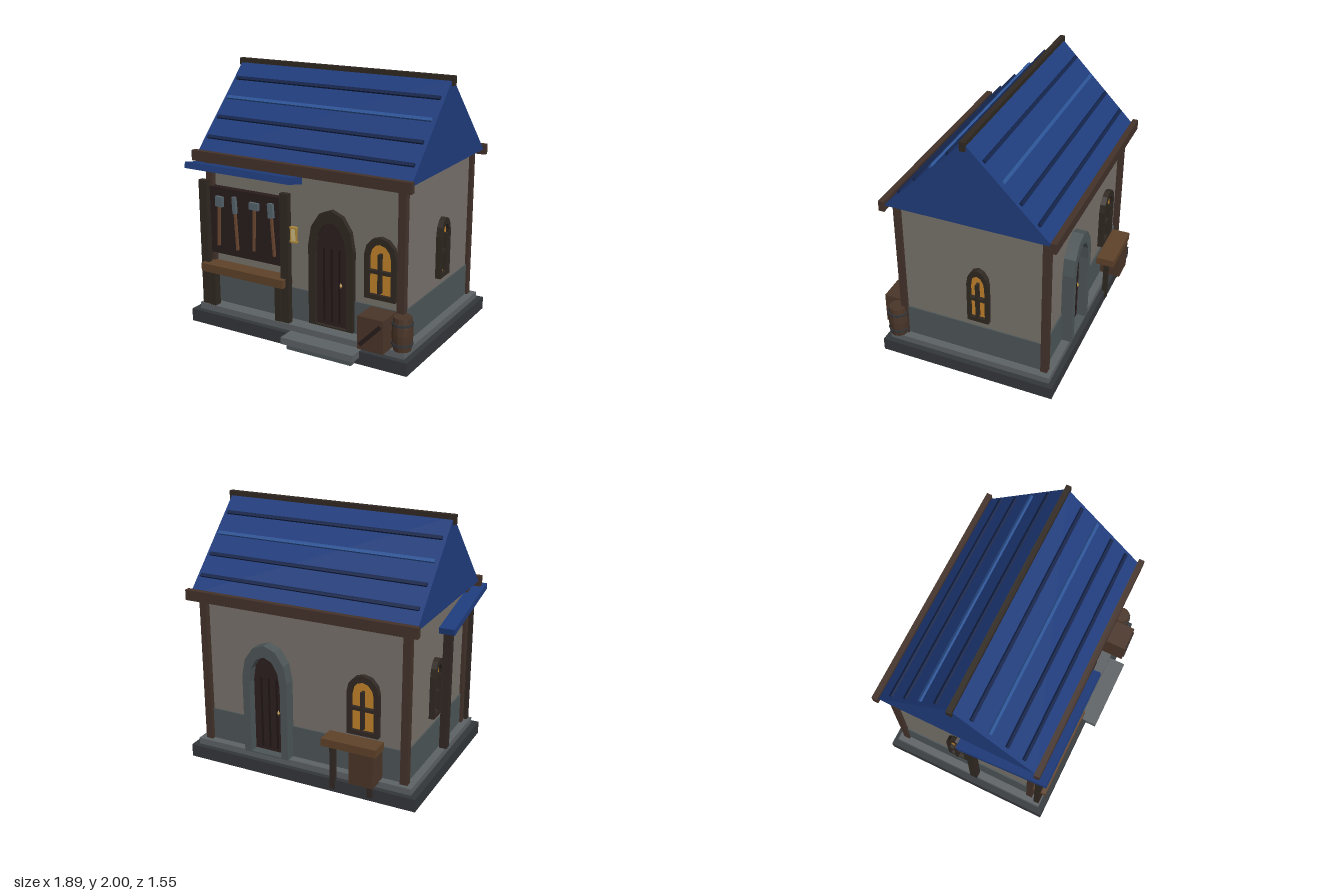
import * as THREE from 'three';

const paint = {
  wall: 0x77716a, stone: 0x4d5557, base: 0x33363a, plinth: 0x5c6164, roof: 0x1f3c7c, roofDark: 0x13234a,
  roofLight: 0x2c5496, timber: 0x43322a, dark: 0x302822, board: 0x281c1d, door: 0x2e1f1f, plank: 0x1f1516,
  wood: 0x5e4229, crate: 0x4a3528, glass: 0xc2822a, gold: 0xb08a3a, pale: 0xcdbb80, steel: 0x56646c, handle: 0x6b4730,
};
const mats = {};
for (const k in paint) {
  mats[k] = new THREE.MeshStandardMaterial({ color: paint[k], flatShading: true });
}

function add(parent, name, geo, mat, x = 0, y = 0, z = 0) {
  const m = new THREE.Mesh(geo, mats[mat]);
  m.name = name;
  m.position.set(x, y, z);
  parent.add(m);
  return m;
}

// Box given by its limits on each axis
function box(parent, name, mat, [x0, x1], [y0, y1], [z0, z1]) {
  return add(parent, name, new THREE.BoxGeometry(x1 - x0, y1 - y0, z1 - z0), mat,
    (x0 + x1) / 2, (y0 + y1) / 2, (z0 + z1) / 2);
}

// Round-headed outline with n facets on each side of the crown
function archPoints(w, y0, spring, top, n) {
  const pts = [new THREE.Vector2(-w, y0), new THREE.Vector2(w, y0)];
  for (let i = 0; i <= 2 * n; i++) {
    const a = (i / (2 * n)) * Math.PI;
    pts.push(new THREE.Vector2(w * Math.cos(a), spring + (top - spring) * Math.sin(a)));
  }
  return pts;
}
const slab = (shape, depth) => new THREE.ExtrudeGeometry(shape, { depth, bevelEnabled: false });

function archFrame(g, name, mat, outer, inner, depth) {
  const s = new THREE.Shape(outer);
  s.holes.push(new THREE.Path(inner));
  add(g, name, slab(s, depth), mat);
}

// Window facing +z, its back on z = 0
function makeWindow(name, w, wi) {
  const g = new THREE.Group();
  g.name = name;
  const inner = archPoints(wi, 0.035, 0.31, 0.415, 3);
  archFrame(g, 'windowFrame', 'dark', archPoints(w, 0, 0.33, 0.465, 3), inner, 0.045);
  add(g, 'windowGlass', slab(new THREE.Shape(inner), 0.02), 'glass');
  box(g, 'windowUpright', 'dark', [-0.01, 0.01], [0.05, 0.345], [0.02, 0.06]);
  box(g, 'windowCrossbar', 'dark', [-wi, wi], [0.195, 0.22], [0.02, 0.05]);
  return g;
}

// Door facing +z
function makeDoor(name, frameMat, h, depth) {
  const g = new THREE.Group();
  g.name = name;
  const inner = archPoints(0.13, 0.01, 0.58, h - 0.09, 3);
  archFrame(g, 'doorFrame', frameMat, archPoints(0.188, 0, 0.62, h, 3), inner, depth);
  add(g, 'doorPanel', slab(new THREE.Shape(inner), 0.02), 'door');
  for (const x of [-0.065, 0, 0.065]) {
    box(g, 'doorBatten', 'plank', [x - 0.006, x + 0.006], [0.04, 0.61], [0.02, 0.03]);
  }
  const knob = add(g, 'doorHandle', new THREE.OctahedronGeometry(0.016), 'gold', 0.08, 0.345, 0.032);
  knob.scale.set(0.8, 1.5, 0.8);
  return g;
}

function place(parent, g, x, y, z, turn = 0) {
  g.position.set(x, y, z);
  g.rotation.y = turn;
  parent.add(g);
}

export function createModel() {
  const root = new THREE.Group();
  root.name = 'cottageWorkshop';
  const CZ = -0.035;

  // Foundation and steps
  box(root, 'foundation', 'base', [-0.95, 0.94], [0, 0.1], [-0.705, 0.685]);
  box(root, 'plinth', 'plinth', [-0.9, 0.895], [0.1, 0.15], [-0.665, 0.64]);
  box(root, 'upperStep', 'plinth', [-0.05, 0.56], [0.05, 0.102], [0.5, 0.775]);
  box(root, 'lowerStep', 'stone', [-0.02, 0.525], [0, 0.05], [0.5, 0.74]);

  // Walls, stone band and corner posts
  box(root, 'walls', 'wall', [-0.83, 0.822], [0.15, 1.345], [-0.59, 0.52]);
  box(root, 'stoneBand', 'stone', [-0.84, 0.832], [0.15, 0.4], [-0.602, 0.532]);
  for (const x of [-0.828, 0.82]) {
    for (const z of [-0.605, 0.535]) {
      box(root, 'cornerPost', 'timber', [x - 0.029, x + 0.029], [0.15, 1.34], [z - 0.026, z + 0.026]);
    }
  }

  // Roof prism, ridge and eave beams
  const gable = new THREE.Shape([[-0.635, 1.34], [0.635, 1.34], [0, 1.985]].map(p => new THREE.Vector2(...p)));
  const roof = add(root, 'roof', slab(gable, 1.81), 'roof', -0.91, 0, CZ);
  roof.rotation.y = Math.PI / 2;
  box(root, 'ridgeBeam', 'dark', [-0.93, 0.92], [1.93, 2], [CZ - 0.02, CZ + 0.02]);
  const slope = Math.atan2(0.645, 0.635);
  for (const s of [1, -1]) {
    const e = CZ + s * 0.645;
    box(root, 'eaveBeam', 'timber', [-0.93, 0.92], [1.3, 1.38], [e - 0.022, e + 0.022]);
    for (let i = 0; i < 4; i++) {
      const d = 0.13 + i * 0.13;
      const strip = add(root, 'roofBatten', new THREE.BoxGeometry(1.75, 0.02, 0.026),
        i === 1 ? 'roofLight' : 'roofDark', -0.005, 1.991 - d * 1.0157, CZ + s * (d + 0.004));
      strip.rotation.x = s * slope;
    }
  }

  // Tilted awning over the tool corner
  const awning = add(root, 'awning', new THREE.BoxGeometry(0.94, 0.05, 0.735), 'roof', -0.48, 1.2, 0.335);
  awning.rotation.x = -0.21;
  box(root, 'awningPost', 'dark', [-0.91, -0.85], [0.15, 1.1], [0.02, 0.08]);

  // Tool rack
  const rack = new THREE.Group();
  rack.name = 'toolRack';
  root.add(rack);
  for (const x of [-0.842, -0.104]) {
    box(rack, 'rackPost', 'dark', [x - 0.035, x + 0.035], [0.15, 1.155], [0.585, 0.63]);
  }
  box(rack, 'rackBoard', 'board', [-0.82, -0.13], [0.57, 1.1], [0.52, 0.575]);
  const tools = [
    [-0.727, 0.8, 0.05, 0.065, 0.08], [-0.565, 0.79, -0.05, 0.03, 0.13],
    [-0.4, 0.81, 0.035, 0.08, 0.055], [-0.23, 0.8, -0.07, 0.045, 0.11],
  ];
  for (const [x, y, lean, w, h] of tools) {
    const tool = new THREE.Group();
    tool.name = 'hangingTool';
    box(tool, 'toolHandle', 'handle', [-0.009, 0.009], [-0.16, 0.17], [-0.009, 0.009]);
    box(tool, 'toolHead', 'steel', [-w / 2, w / 2], [0.195 - h / 2, 0.195 + h / 2], [-0.012, 0.014]);
    tool.position.set(x, y, 0.587);
    tool.rotation.z = -lean;
    rack.add(tool);
  }

  // Front workbench
  box(root, 'benchTop', 'wood', [-0.85, -0.095], [0.435, 0.5], [0.54, 0.67]);
  for (const x of [-0.775, -0.168]) {
    box(root, 'benchLeg', 'dark', [x - 0.025, x + 0.025], [0.15, 0.435], [0.575, 0.635]);
  }

  // Doors and windows
  place(root, makeDoor('frontDoor', 'dark', 0.905, 0.045), 0.25, 0.16, 0.515);
  place(root, makeDoor('backDoor', 'stone', 0.89, 0.09), 0.275, 0.148, -0.59, Math.PI);
  place(root, makeWindow('frontWindow', 0.125, 0.088), 0.653, 0.465, 0.515);
  place(root, makeWindow('backWindow', 0.125, 0.088), -0.5, 0.465, -0.588, Math.PI);
  place(root, makeWindow('leftWindow', 0.084, 0.057), 0.82, 0.475, -0.09, Math.PI / 2);
  place(root, makeWindow('rightWindow', 0.084, 0.057), -0.828, 0.475, -0.09, -Math.PI / 2);

  // Wall lantern
  const lantern = new THREE.Group();
  lantern.name = 'lantern';
  box(lantern, 'lanternGlass', 'pale', [-0.018, 0.018], [-0.05, 0.05], [-0.006, 0.006]);
  for (const s of [-1, 1]) {
    box(lantern, 'lanternSide', 'gold', [s * 0.023 - 0.005, s * 0.023 + 0.005], [-0.055, 0.055], [-0.008, 0.008]);
    box(lantern, 'lanternCap', 'gold', [-0.029, 0.029], [s * 0.053 - 0.006, s * 0.053 + 0.006], [-0.014, 0.014]);
  }
  place(root, lantern, 0.002, 0.872, 0.657);

  // Crate with diagonal brace
  box(root, 'crate', 'crate', [0.575, 0.78], [0.15, 0.4], [0.54, 0.738]);
  const brace = add(root, 'crateBrace', new THREE.BoxGeometry(0.235, 0.03, 0.012), 'board', 0.677, 0.27, 0.741);
  brace.rotation.z = 0.8;

  // Barrel with hoops
  const profile = [[0, 0], [0.065, 0], [0.074, 0.07], [0.077, 0.125], [0.074, 0.18], [0.065, 0.25], [0, 0.25]];
  add(root, 'barrel', new THREE.LatheGeometry(profile.map(p => new THREE.Vector2(...p)), 12), 'crate', 0.855, 0.15, 0.588);
  for (const y of [0.2, 0.35]) {
    add(root, 'barrelHoop', new THREE.CylinderGeometry(0.078, 0.078, 0.018, 12), 'base', 0.855, y, 0.588);
  }

  // Back table with chest
  box(root, 'backTableTop', 'wood', [-0.67, -0.24], [0.395, 0.455], [-0.775, -0.63]);
  for (const x of [-0.6, -0.3]) {
    box(root, 'backTableLeg', 'dark', [x - 0.02, x + 0.02], [0.03, 0.395], [-0.718, -0.682]);
  }
  box(root, 'backChest', 'crate', [-0.65, -0.46], [0.14, 0.395], [-0.77, -0.59]);

  return root;
}
